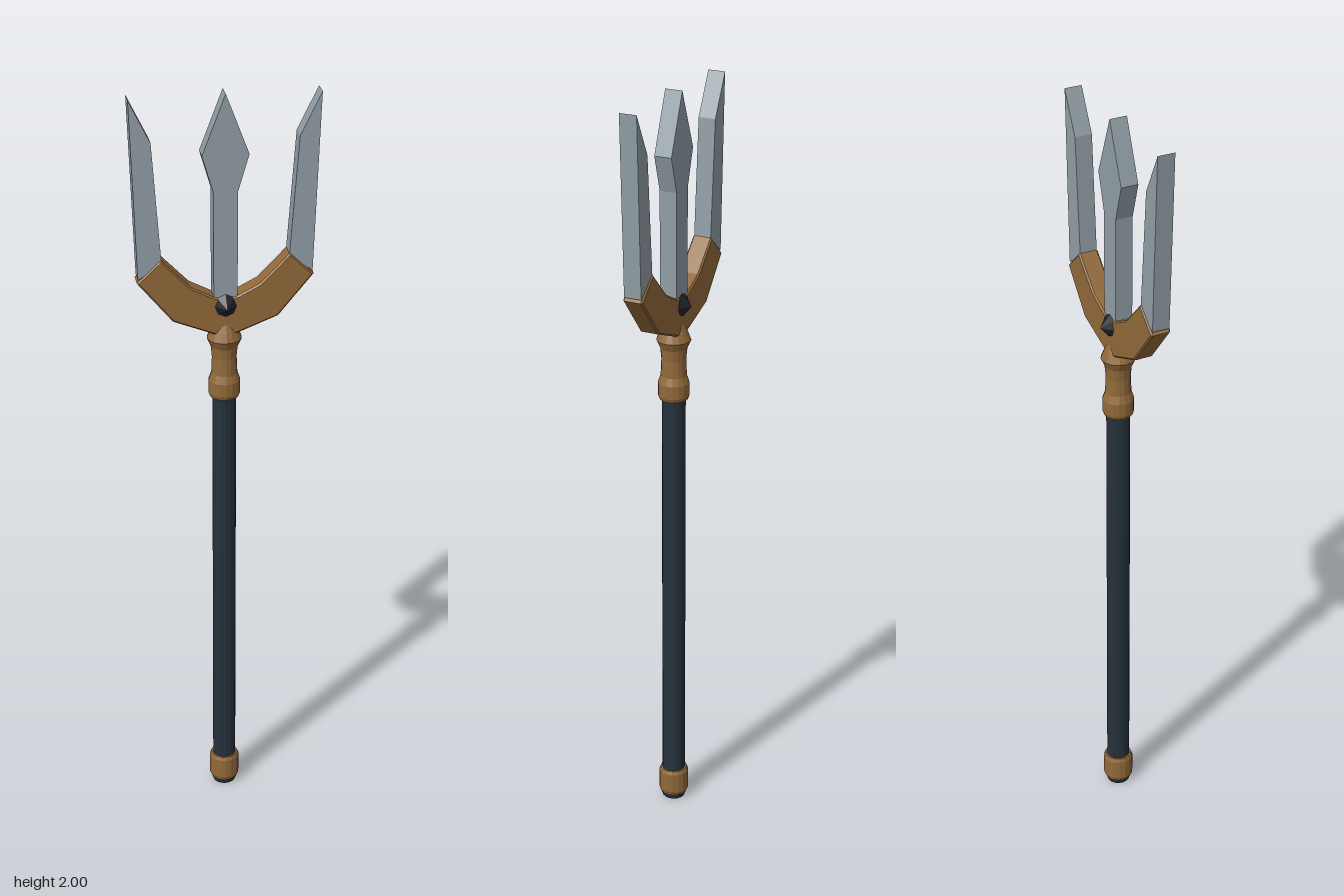
import * as THREE from 'three';

const mat = (name, color) => new THREE.MeshStandardMaterial({ name, color, flatShading: true });

export function createModel() {
  const group = new THREE.Group();
  const steel = mat('steel', 0x919ea6);
  const bronze = mat('bronze', 0x91693a);
  const darkGrip = mat('darkGrip', 0x26313b);
  const darkGem = mat('darkGem', 0x1b2028);

  const add = (name, geometry, material) => {
    const mesh = new THREE.Mesh(geometry, material);
    mesh.name = name;
    group.add(mesh);
    return mesh;
  };
  // Flat outline extruded evenly about z = 0, with an optional chamfer
  const plate = (points, depth, bevel = 0) => {
    const shape = new THREE.Shape(points.map(([x, y]) => new THREE.Vector2(x, y)));
    const geometry = new THREE.ExtrudeGeometry(shape, {
      depth: depth - 2 * bevel, bevelEnabled: bevel > 0, bevelSize: bevel,
      bevelThickness: bevel, bevelOffset: -bevel, bevelSegments: 1,
    });
    return geometry.translate(0, 0, bevel - depth / 2);
  };
  const lathe = (points) =>
    new THREE.LatheGeometry(points.map(([r, y]) => new THREE.Vector2(r, y)), 16);
  const mirrored = (points) => points.map(([x, y]) => [-x, y]).reverse();

  // Shaft and its end fittings
  add('shaft', new THREE.CylinderGeometry(0.031, 0.031, 1.14, 16).translate(0, 0.64, 0), darkGrip);
  add('buttCap', lathe([[0, 0], [0.03, 0], [0.036, 0.018], [0, 0.018]]), darkGrip);
  add('buttRing', lathe([[0, 0.016], [0.036, 0.016], [0.04, 0.025], [0.04, 0.08], [0.036, 0.09], [0, 0.09]]), bronze);
  add('collar', lathe([
    [0, 1.19], [0.037, 1.19], [0.041, 1.2], [0.041, 1.235], [0.034, 1.255], [0.032, 1.3],
    [0.035, 1.33], [0.045, 1.352], [0.036, 1.375], [0.025, 1.4], [0, 1.4],
  ]), bronze);

  // Curved crosspiece that carries the three prongs
  const upper = [[0.163, 1.58], [0.088, 1.503], [0.03, 1.473]];
  const lower = [[0.03, 1.372], [0.134, 1.413], [0.224, 1.522]];
  const half = [...lower, ...upper];
  add('crosspiece', plate([[0, 1.362], ...half, [0, 1.468], ...mirrored(half)], 0.054, 0.004), bronze);

  // Prongs
  const spear = [[0.03, 1.42], [0.031, 1.75], [0.059, 1.845]];
  add('centreProng', plate([...spear, [0, 2], ...mirrored(spear)], 0.047), steel);
  const blade = [[0.221, 1.53], [0.238, 1.995], [0.184, 1.885], [0.161, 1.57]];
  add('leftProng', plate(blade, 0.047), steel);
  add('rightProng', plate(mirrored(blade), 0.047), steel);

  // Pointed gems on front and back
  for (const side of [1, -1]) {
    const gem = new THREE.ConeGeometry(0.032, 0.028, 8);
    gem.rotateX(side * Math.PI / 2).translate(0, 1.447, side * 0.037);
    add(side > 0 ? 'frontGem' : 'backGem', gem, darkGem);
  }
  return group;
}
